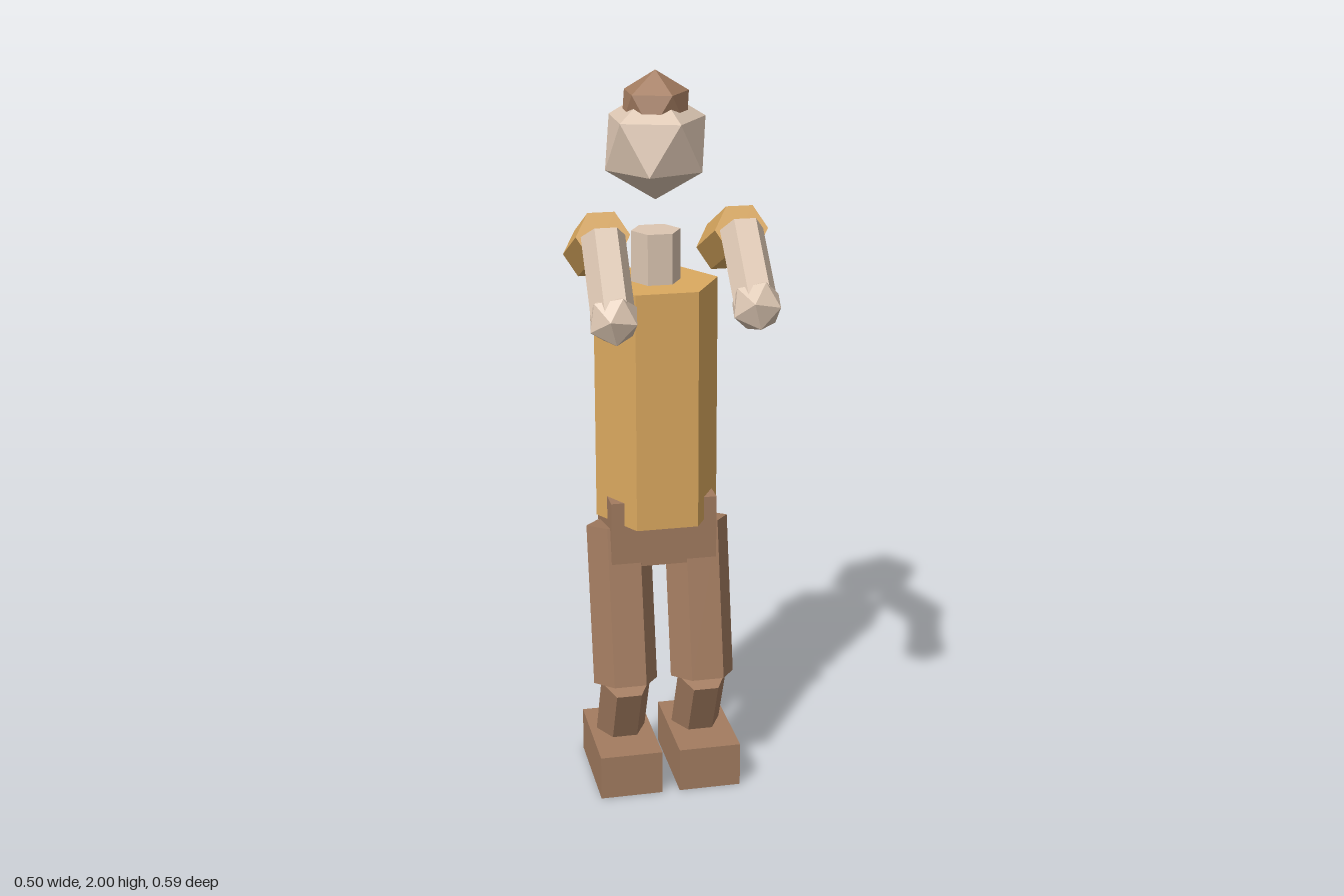
import * as THREE from 'three';

const paint = (name, color) => {
  const m = new THREE.MeshStandardMaterial({ color });
  m.name = name;
  return m;
};

export function createModel() {
  const model = new THREE.Group();
  model.name = 'figure';
  const skin = paint('skin', 0xdcc6b2);
  const shirt = paint('shirt', 0xdcaa60);
  const brown = paint('brown', 0xa37c60);

  const add = (name, geometry, material, x, y, z, tilt = 0) => {
    const flat = geometry.index ? geometry.toNonIndexed() : geometry;
    flat.computeVertexNormals();
    const mesh = new THREE.Mesh(flat, material);
    mesh.name = name;
    mesh.position.set(x, y, z);
    mesh.rotation.x = tilt;
    model.add(mesh);
  };

  const box = (name, mat, w, h, d, x, y, z) =>
    add(name, new THREE.BoxGeometry(w, h, d), mat, x, y, z);

  // Lean of a limb running between two [z, y] joints
  const lean = (top, bottom) => Math.atan2(top[0] - bottom[0], top[1] - bottom[1]);

  // Six-sided prism between two [z, y] joints, corners pointing sideways
  const limb = (name, mat, r, x, top, bottom) => {
    const length = Math.hypot(top[0] - bottom[0], top[1] - bottom[1]);
    const g = new THREE.CylinderGeometry(r, r, length, 6).rotateY(Math.PI / 2);
    add(name, g, mat, x, (top[1] + bottom[1]) / 2, (top[0] + bottom[0]) / 2, lean(top, bottom));
  };

  // Icosahedron standing on a corner
  const gem = (name, mat, r, x, y, z, tilt) => {
    const g = new THREE.IcosahedronGeometry(r, 0).rotateZ(-Math.atan(2 / (1 + Math.sqrt(5))));
    add(name, g, mat, x, y, z, tilt);
  };

  // Head and body
  gem('head', skin, 0.15, 0, 1.81, -0.154);
  gem('hair', brown, 0.1, 0, 1.9, -0.154);
  limb('neck', skin, 0.067, 0, [-0.15, 1.58], [-0.15, 1.4]);
  limb('torso', shirt, 0.17, 0, [-0.15, 1.442], [-0.145, 0.783]);
  box('pelvis', brown, 0.294, 0.19, 0.21, 0, 0.755, -0.148);

  for (const side of [-1, 1]) {
    const label = side > 0 ? 'left' : 'right';

    // Bent leg and foot
    const knee = [-0.048, 0.314];
    limb(label + 'Thigh', brown, 0.09, side * 0.11, [-0.14, 0.754], knee);
    limb(label + 'Shin', brown, 0.07, side * 0.11, knee, [-0.158, 0.07]);
    box(label + 'Foot', brown, 0.175, 0.127, 0.302, side * 0.1125, 0.0635, -0.101);

    // Raised arm, the left hand held slightly higher
    const elbow = [0.064, 1.622];
    const wrist = side > 0 ? [0.227, 1.464] : [0.202, 1.441];
    limb(label + 'UpperArm', shirt, 0.07, side * 0.18, elbow, [-0.148, 1.526]);
    limb(label + 'Forearm', skin, 0.057, side * 0.18, elbow, wrist);
    gem(label + 'Hand', skin, 0.07, side * 0.18, wrist[1], wrist[0], lean(elbow, wrist));
  }
  return model;
}
